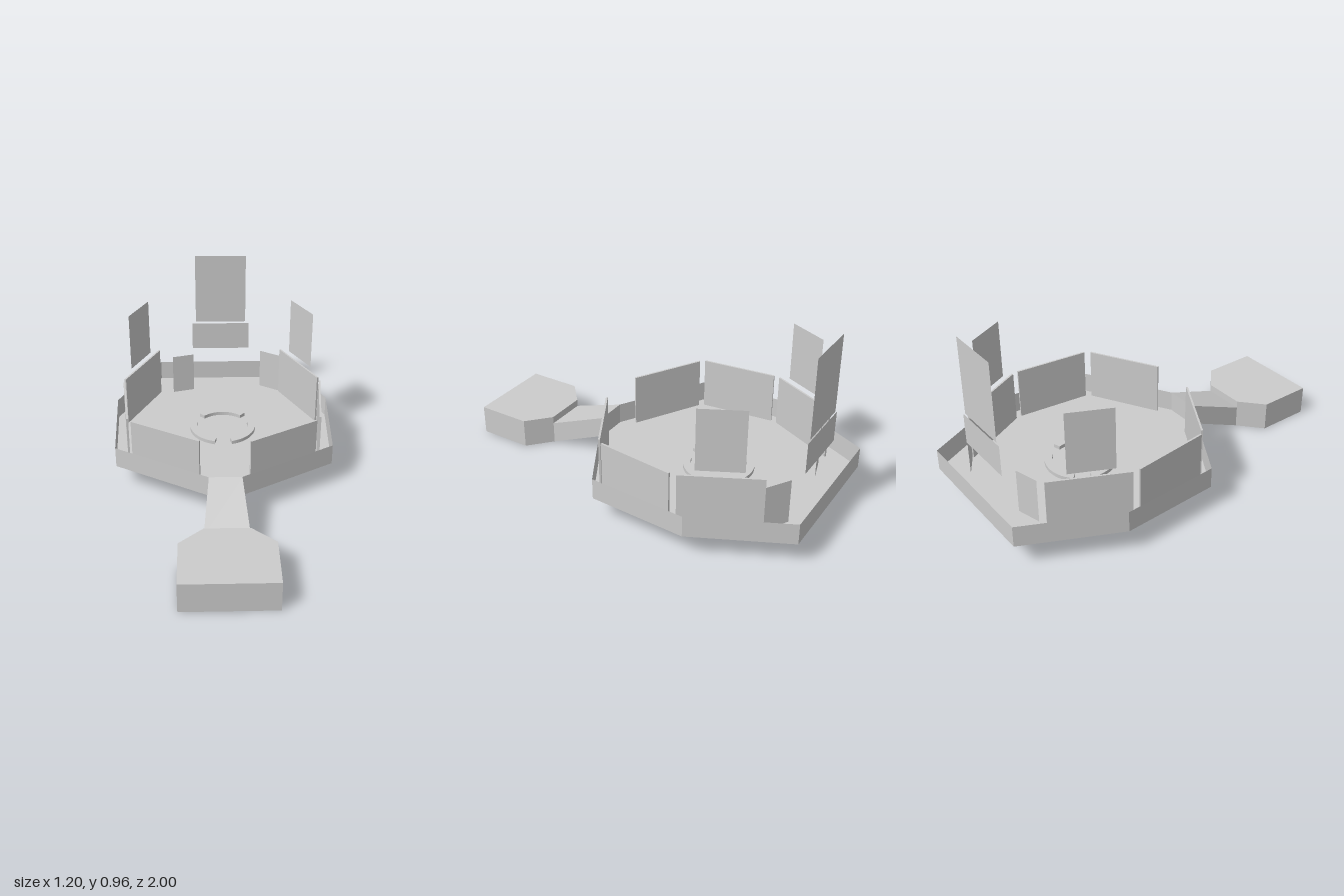
import * as THREE from 'three';

const material = new THREE.MeshStandardMaterial({ color: 0xcccccc, flatShading: true, side: THREE.DoubleSide });

// Outline in plan, given as [x, z] pairs for the +x half and mirrored
function mirroredPlan(half) {
  const other = half.map(([x, z]) => [-x, z]).reverse();
  return [...half, ...other];
}

function planShape(points) {
  return new THREE.Shape(points.map(([x, z]) => new THREE.Vector2(x, -z)));
}

// Quads given as four corner points each
function quadGeometry(quads) {
  const positions = [];
  for (const [a, b, c, d] of quads) positions.push(...a, ...b, ...c, ...a, ...c, ...d);
  const geometry = new THREE.BufferGeometry();
  geometry.setAttribute('position', new THREE.Float32BufferAttribute(positions, 3));
  geometry.computeVertexNormals();
  return geometry;
}

export function createModel() {
  const model = new THREE.Group();
  model.name = 'platform';

  function add(name, geometry) {
    const mesh = new THREE.Mesh(geometry, material);
    mesh.name = name;
    model.add(mesh);
    return mesh;
  }

  // Upright panel between two plan points; zero thickness gives a flat sheet
  function addPanel(name, [x1, z1], [x2, z2], bottom, top, thickness = 0) {
    const length = Math.hypot(x2 - x1, z2 - z1);
    const geometry = thickness
      ? new THREE.BoxGeometry(length, top - bottom, thickness)
      : new THREE.PlaneGeometry(length, top - bottom);
    const panel = add(name, geometry);
    panel.position.set((x1 + x2) / 2, (bottom + top) / 2, (z1 + z2) / 2);
    panel.rotation.y = -Math.atan2(z2 - z1, x2 - x1);
  }

  // Open eight-sided tray: floor and thin rim
  const floorY = 0.127, rimY = 0.24;
  const deck = mirroredPlan([[0.085, 0.285], [0.578, 0], [0.602, -0.52], [0.37, -1]]);
  add('deckFloor', new THREE.ShapeGeometry(planShape(deck)).rotateX(-Math.PI / 2)).position.y = floorY;
  add('deckRim', quadGeometry(deck.map(([x, z], i) => {
    const [u, w] = deck[(i + 1) % deck.length];
    return [[x, floorY, z], [u, floorY, w], [u, rimY, w], [x, rimY, z]];
  })));

  // Front landing pad
  const pad = mirroredPlan([[0.235, 1], [0.235, 0.71], [0.113, 0.6]]);
  add('landingPad', new THREE.ExtrudeGeometry(planShape(pad), { depth: 0.16, bevelEnabled: false })
    .rotateX(-Math.PI / 2));

  // Sloping bridge from pad to deck, lofted between two end sections
  const section = (w, bottom, top, z) => [[-w, bottom, z], [w, bottom, z], [w, top, z], [-w, top, z]];
  const front = section(0.113, 0, 0.12, 0.6);
  const back = section(0.085, floorY, rimY, 0.285);
  const sides = front.map((p, i) => [p, back[i], back[(i + 1) % 4], front[(i + 1) % 4]].reverse());
  add('bridge', quadGeometry([front, ...sides, [...back].reverse()]));

  // Shield walls standing on the deck
  const walls = [
    ['frontWallRight', [-0.485, 0.01], [-0.13, 0.21]],
    ['frontWallLeft', [0.127, 0.22], [0.482, 0.02]],
    ['sideWallRight', [-0.55, -0.42], [-0.507, -0.015]],
    ['sideWallLeft', [0.505, -0.01], [0.545, -0.415]],
    ['rearWallRight', [-0.37, -0.82], [-0.547, -0.455]],
    ['rearWallLeft', [0.54, -0.45], [0.355, -0.815]],
  ];
  for (const [name, a, b] of walls) addPanel(name, a, b, floorY, 0.41, 0.01);

  // Short sheets near the back
  addPanel('shortSheetRight', [-0.29, -0.815], [-0.165, -0.85], floorY, 0.365);
  addPanel('shortSheetLeft', [0.24, -0.89], [0.36, -0.815], floorY, 0.365);

  // Floating screens
  addPanel('sideScreenRight', [-0.515, -0.525], [-0.417, -0.73], 0.44, 0.765);
  addPanel('sideScreenLeft', [0.4, -0.73], [0.505, -0.525], 0.44, 0.765);
  addPanel('rearScreenLower', [-0.17, -0.925], [0.17, -0.925], 0.37, 0.535);
  addPanel('rearScreenUpper', [-0.148, -0.925], [0.148, -0.925], 0.547, 0.962);

  // Three raised arcs forming a broken ring on the floor
  for (let i = 0; i < 3; i++) {
    const middle = Math.PI / 2 + i * 2 * Math.PI / 3;
    const start = middle - Math.PI / 4, end = middle + Math.PI / 4;
    const arc = new THREE.Shape();
    arc.absarc(0, 0, 0.185, start, end, false);
    arc.absarc(0, 0, 0.145, end, start, true);
    const geometry = new THREE.ExtrudeGeometry(arc, { depth: 0.02, bevelEnabled: false, curveSegments: 10 });
    add('floorArc', geometry.rotateX(-Math.PI / 2)).position.set(0, floorY, -0.385);
  }

  return model;
}
